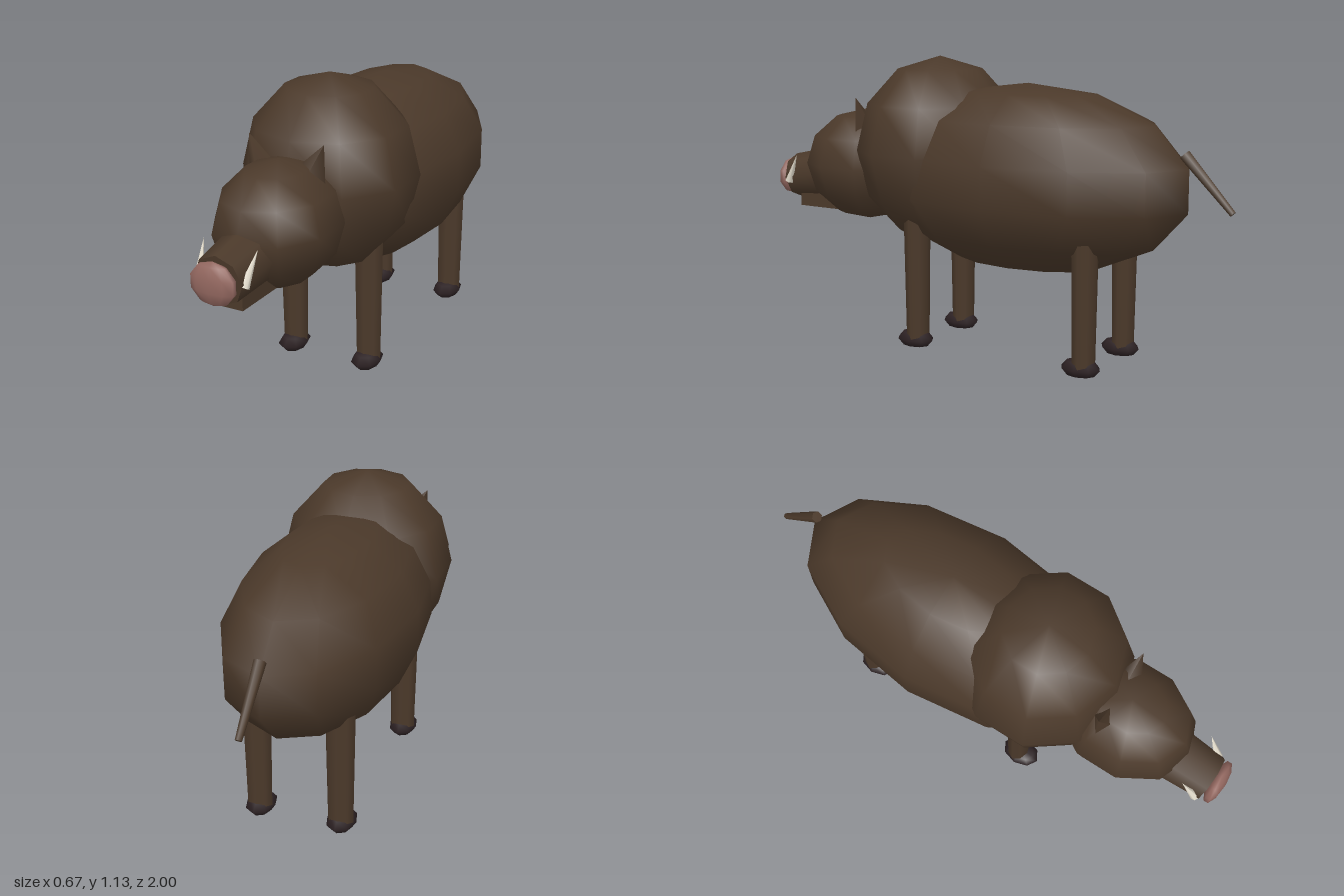
import * as THREE from 'three';

const paint = (name, color) => {
  const m = new THREE.MeshStandardMaterial({ color });
  m.name = name;
  return m;
};

export function createModel() {
  const hide = paint('brown hide', 0x4b392a);
  const hoofDark = paint('dark hoof', 0x2c2123);
  const nosePink = paint('pink nose', 0x946860);
  const ivory = paint('ivory', 0xe6dfcf);

  const model = new THREE.Group();
  model.name = 'boar';

  const add = (name, geometry, material) => {
    const mesh = new THREE.Mesh(geometry, material);
    mesh.name = name;
    model.add(mesh);
    return mesh;
  };

  // Low-poly ellipsoid with a column of vertices facing straight forward
  const ellipsoid = (name, material, [x, y, z], [rx, ry, rz], sides, rings) => {
    const g = new THREE.SphereGeometry(1, sides, rings);
    g.rotateY(Math.PI / 2);
    const mesh = add(name, g, material);
    mesh.scale.set(rx, ry, rz);
    mesh.position.set(x, y, z);
    return mesh;
  };

  // Tapered round bar between two points
  const bar = (name, material, from, to, r0, r1, sides) => {
    const a = new THREE.Vector3(...from);
    const dir = new THREE.Vector3(...to).sub(a);
    const length = dir.length();
    const g = new THREE.CylinderGeometry(r1, r0, length, sides);
    g.translate(0, length / 2, 0);
    const mesh = add(name, g, material);
    mesh.quaternion.setFromUnitVectors(new THREE.Vector3(0, 1, 0), dir.normalize());
    mesh.position.copy(a);
    return mesh;
  };

  // Trunk, shoulder hump and head
  ellipsoid('body', hide, [0, 0.685, -0.18], [0.343, 0.355, 0.665], 12, 7);
  ellipsoid('shoulders', hide, [0, 0.765, 0.215], [0.331, 0.365, 0.325], 10, 6);
  ellipsoid('head', hide, [0, 0.685, 0.57], [0.221, 0.225, 0.27], 10, 6);

  // Muzzle
  bar('snout', hide, [0, 0.64, 0.7], [0, 0.608, 0.942], 0.11, 0.092, 8);
  const jaw = add('jaw', new THREE.BoxGeometry(0.11, 0.055, 0.29), hide);
  jaw.position.set(0, 0.518, 0.745);
  ellipsoid('nose', nosePink, [0, 0.608, 0.97], [0.09, 0.078, 0.031], 10, 5);

  // Tail
  bar('tail', hide, [0, 0.815, -0.81], [0, 0.622, -0.992], 0.022, 0.012, 6);

  for (const [side, s] of [['left', 1], ['right', -1]]) {
    // Ears lean outward
    const ear = add(`${side}Ear`, new THREE.ConeGeometry(0.058, 0.125, 4), hide);
    ear.scale.z = 0.66;
    ear.rotation.z = -s * 0.41;
    ear.position.set(s * 0.124, 0.908, 0.517);

    // Tusks sweep up and back
    bar(`${side}Tusk`, ivory, [s * 0.087, 0.595, 0.925], [s * 0.105, 0.71, 0.865], 0.018, 0, 6);

    // Legs and hooves
    for (const [end, z] of [['Front', 0.217], ['Rear', -0.51]]) {
      const leg = bar(`${side}${end}Leg`, hide, [s * 0.16, 0.04, z], [s * 0.16, 0.56, z], 0.049, 0.058, 8);
      leg.scale.z = 0.84;
      ellipsoid(`${side}${end}Hoof`, hoofDark, [s * 0.16, 0.039, z + 0.012], [0.056, 0.036, 0.078], 8, 4);
    }
  }

  return model;
}
